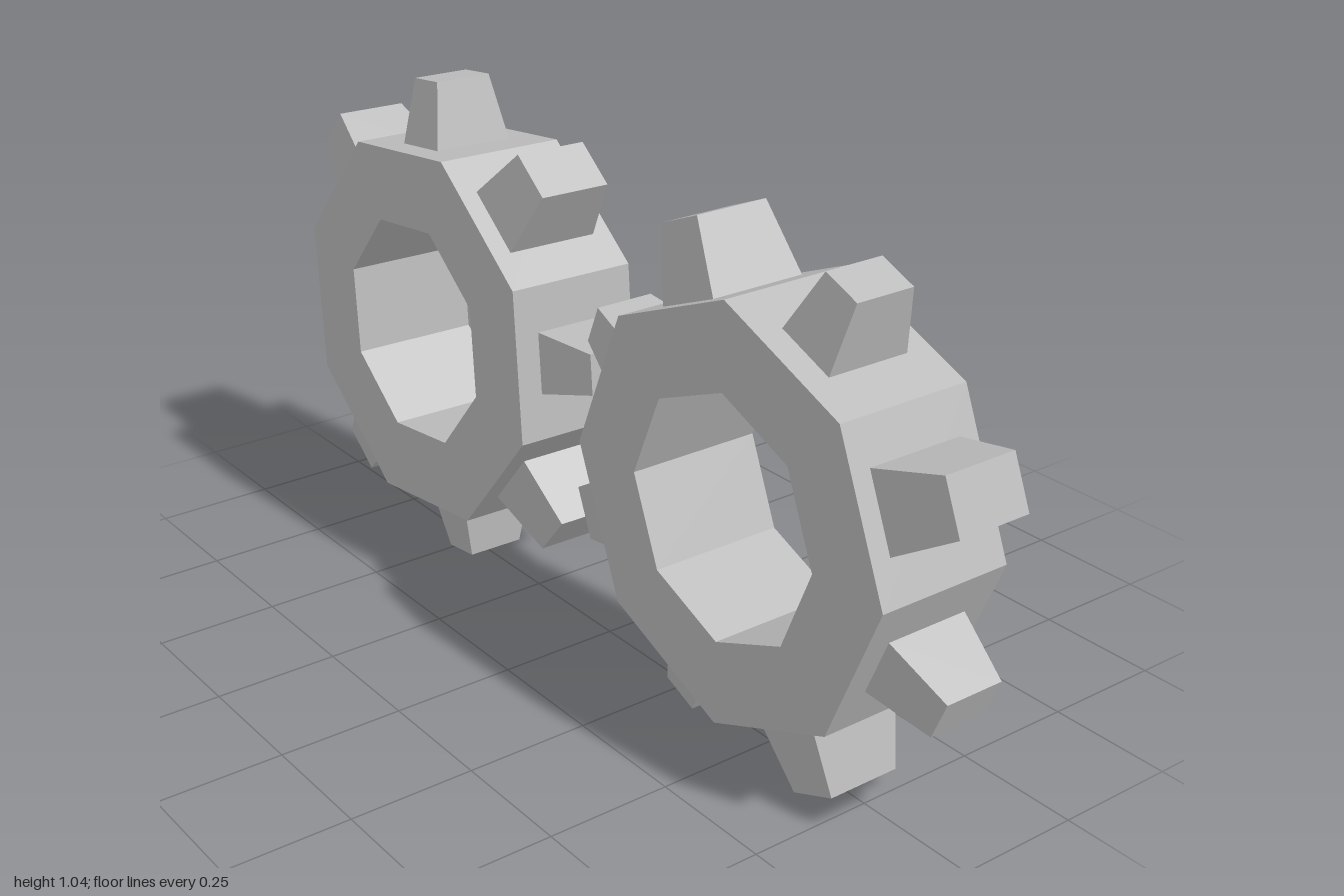
import * as THREE from 'three';

const SIDES = 8;
const OUTER = 0.407, INNER = 0.24, HALF_DEPTH = 0.14;
const APOTHEM = OUTER * Math.cos(Math.PI / SIDES);

const steel = new THREE.MeshStandardMaterial({ color: 0xbcbcbc });
steel.name = 'grey metal';

function octagon(radius, Type) {
  const points = [];
  for (let i = 0; i < SIDES; i++) {
    const a = (i / SIDES) * Math.PI * 2;
    points.push(new THREE.Vector2(Math.cos(a) * radius, Math.sin(a) * radius));
  }
  return new Type(points);
}

// Octagonal ring with an octagonal hole
function ringGeometry() {
  const shape = octagon(OUTER, THREE.Shape);
  shape.holes.push(octagon(INNER, THREE.Path));
  const geometry = new THREE.ExtrudeGeometry(shape, { depth: HALF_DEPTH * 2, bevelEnabled: false });
  return geometry.translate(0, 0, -HALF_DEPTH);
}

// Tapered block pointing along +x, from the ring's flat side to the tip
function toothGeometry({ tip, baseY, baseZ, tipY, tipZ }) {
  const geometry = new THREE.BoxGeometry(1, 2, 2).toNonIndexed();
  const p = geometry.attributes.position;
  for (let i = 0; i < p.count; i++) {
    const outer = p.getX(i) > 0;
    p.setXYZ(i, outer ? tip : APOTHEM - 0.002,
      p.getY(i) * (outer ? tipY : baseY),
      p.getZ(i) * (outer ? tipZ : baseZ));
  }
  geometry.computeVertexNormals();
  return geometry;
}

const ring = ringGeometry();
const wideTooth = toothGeometry({ tip: 0.519, baseY: 0.074, baseZ: 0.1, tipY: 0.052, tipZ: 0.077 });
const narrowTooth = toothGeometry({ tip: 0.509, baseY: 0.063, baseZ: 0.087, tipY: 0.041, tipZ: 0.062 });

// Ring with alternating wide and narrow teeth on its flat sides
function makeGear(name) {
  const gear = new THREE.Group();
  gear.name = name;
  const body = new THREE.Mesh(ring, steel);
  body.name = 'ring';
  gear.add(body);
  for (let i = 0; i < SIDES; i++) {
    const wide = i % 2 === 0;
    const tooth = new THREE.Mesh(wide ? wideTooth : narrowTooth, steel);
    tooth.name = wide ? 'wideTooth' : 'narrowTooth';
    tooth.rotation.z = ((i + 0.5) / SIDES) * Math.PI * 2;
    gear.add(tooth);
  }
  return gear;
}

export function createModel() {
  const model = new THREE.Group();
  model.name = 'gears';

  const leftGear = makeGear('leftGear');
  leftGear.position.set(0.5, 0.5, 0);

  // Meshing gear, turned to interlock and tilted very slightly
  const rightGear = makeGear('rightGear');
  rightGear.position.set(-0.494, 0.529, 0);
  rightGear.rotation.set(-0.02, 0.015, THREE.MathUtils.degToRad(28.5));

  model.add(leftGear, rightGear);
  return model;
}
